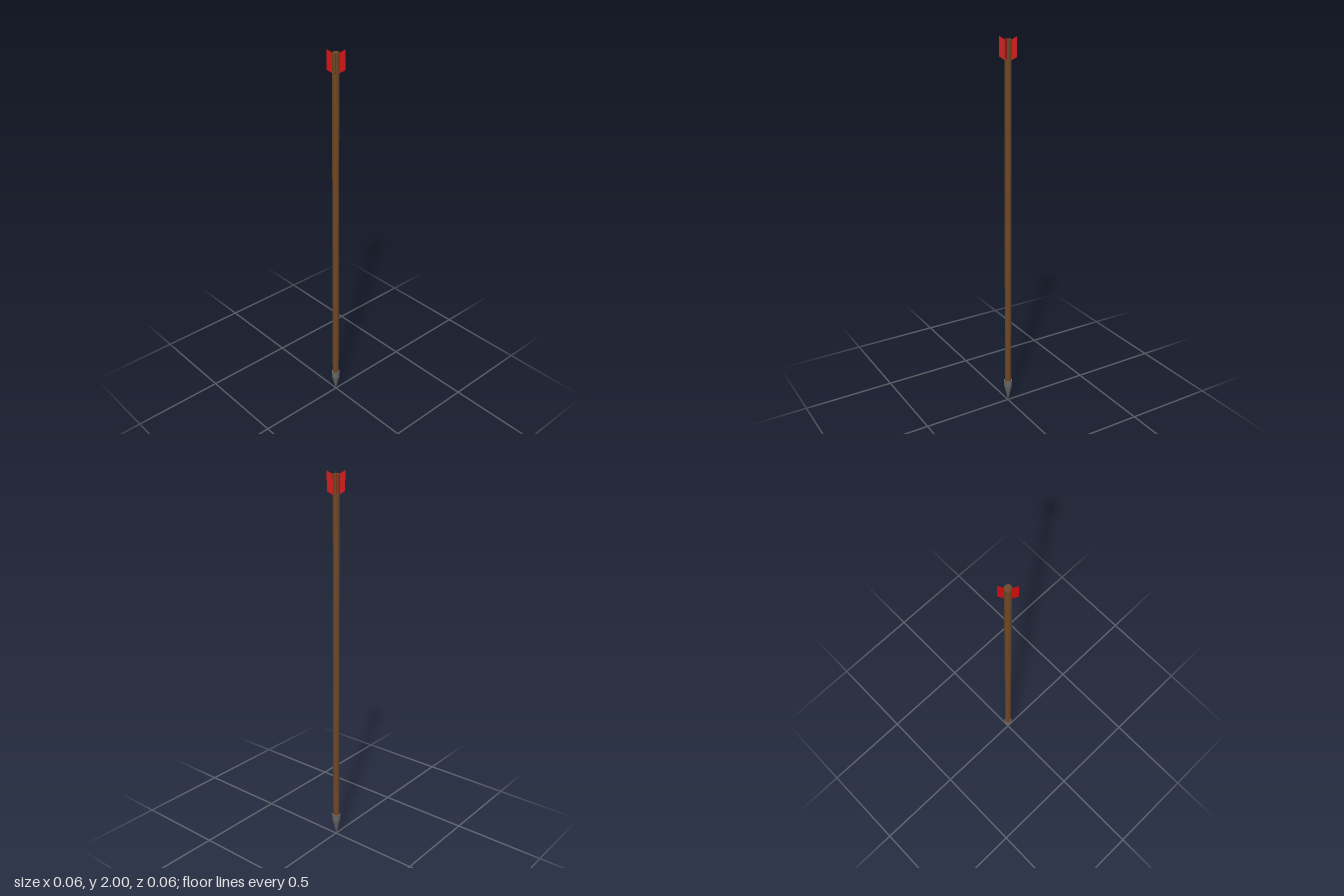
import * as THREE from 'three';

export function createModel() {
  const model = new THREE.Group();
  const material = (name, color, side = THREE.FrontSide) => {
    const m = new THREE.MeshStandardMaterial({ color, side });
    m.name = name;
    return m;
  };
  const wood = material('brown wood', 0x6e4726);
  const steel = material('grey steel', 0x66666a);
  const feather = material('red feather', 0xd00a0a, THREE.DoubleSide);

  const add = (name, geometry, mat, parent = model) => {
    const mesh = new THREE.Mesh(geometry, mat);
    mesh.name = name;
    parent.add(mesh);
    return mesh;
  };

  const core = new THREE.Group();
  core.name = 'arrowBody';
  core.position.set(-0.001, 0, -0.001);
  model.add(core);

  // Straight shaft
  const bottom = 0.11, top = 1.985;
  add('shaft', new THREE.CylinderGeometry(0.0175, 0.0175, top - bottom, 12), wood, core)
    .position.y = (top + bottom) / 2;

  // Head: a short socket above a long point
  const collar = 0.09, headTop = 0.125;
  add('headSocket', new THREE.CylinderGeometry(0.0235, 0.0225, headTop - collar, 12), steel, core)
    .position.y = (headTop + collar) / 2;
  add('headPoint', new THREE.CylinderGeometry(0.0225, 0, collar, 12, 1, true), steel, core)
    .position.y = collar / 2;

  // Four swept vanes on the diagonals
  const vane = new THREE.Shape([
    new THREE.Vector2(0.012, 1.883),
    new THREE.Vector2(0.044, 1.903),
    new THREE.Vector2(0.044, 2.0),
    new THREE.Vector2(0.012, 1.98),
  ]);
  const vaneGeometry = new THREE.ShapeGeometry(vane);
  for (let i = 0; i < 4; i++) {
    add('fletching' + (i + 1), vaneGeometry, feather).rotation.y = Math.PI / 4 + i * Math.PI / 2;
  }

  return model;
}
